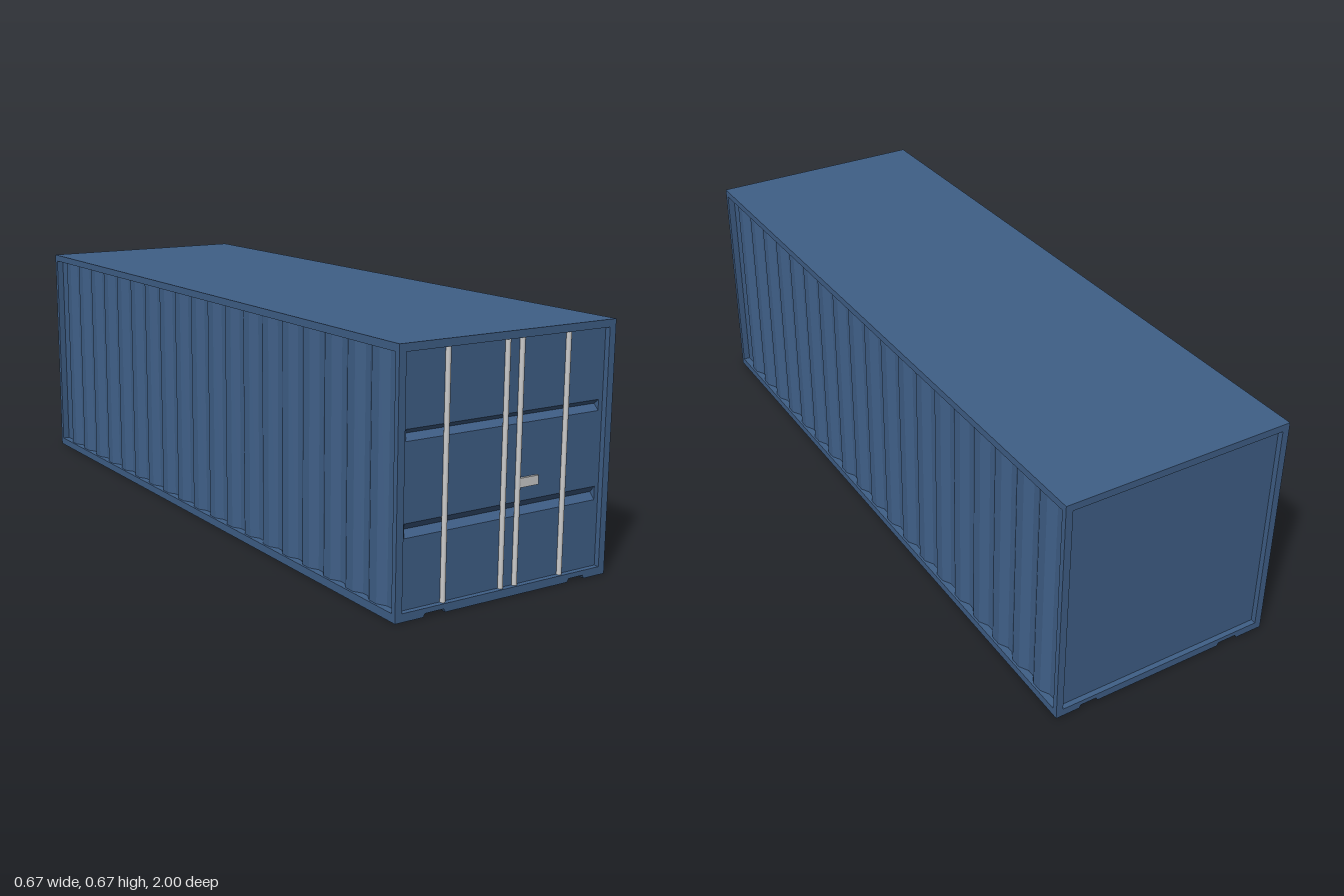
import * as THREE from 'three';

const W = 0.333, H = 0.668, L = 1;       // half width, height, half length
const LOW = 0.022, HIGH = 0.648;         // opening between the rails
const POST = 0.02, SIDE_POST = 0.015;    // post width on x and on z

const blue = new THREE.MeshStandardMaterial({ color: 0x3f5f87, flatShading: true });
const grey = new THREE.MeshStandardMaterial({ color: 0xcccccc });

function add(parent, name, geometry, material, x = 0, y = 0, z = 0) {
  const mesh = new THREE.Mesh(geometry, material);
  mesh.name = name;
  mesh.position.set(x, y, z);
  parent.add(mesh);
  return mesh;
}

function extrude(points, depth) {
  const shape = new THREE.Shape(points.map(([x, y]) => new THREE.Vector2(x, y)));
  return new THREE.ExtrudeGeometry(shape, { depth, bevelEnabled: false });
}

// Corrugated wall for the +x side, running along z
function sideWallGeometry() {
  const outer = 0.327, inner = 0.313, pitch = 0.1, end = L - SIDE_POST;
  const points = [[0.3, -end], [inner, -end]];
  for (let i = 0; i < 19; i++) {
    const z = -0.95 + i * pitch;
    points.push([inner, z + 0.01], [outer, z + 0.035], [outer, z + 0.065], [inner, z + 0.09]);
  }
  points.push([inner, end], [0.3, end]);
  const geometry = extrude(points, HIGH - LOW);
  geometry.rotateX(Math.PI / 2);         // shape y becomes z, depth runs down
  geometry.translate(0, HIGH, 0);
  return geometry;
}

// Door panel with two pressed V grooves, running along x
function doorGeometry() {
  const face = 0.985, deep = 0.97, back = 0.95;
  const points = [
    [back, LOW], [face, LOW],
    [face, 0.2], [deep, 0.218], [face, 0.236],
    [face, 0.434], [deep, 0.45], [face, 0.463],
    [face, HIGH], [back, HIGH],
  ];
  const width = 2 * (W - POST);
  const geometry = extrude(points, width);
  geometry.rotateY(-Math.PI / 2);        // shape x becomes z, depth runs to -x
  geometry.translate(width / 2, 0, 0);
  return geometry;
}

export function createModel() {
  const group = new THREE.Group();
  group.name = 'shippingContainer';

  // Base with two fork channels along its length
  const base = extrude([
    [-W, 0], [-0.25, 0], [-0.245, 0.009], [-0.188, 0.009], [-0.184, 0],
    [0.206, 0], [0.211, 0.009], [0.258, 0.009], [0.263, 0], [W, 0],
    [W, LOW], [-W, LOW],
  ], 2 * L);
  add(group, 'base', base, blue, 0, 0, -L);

  // Roof
  add(group, 'roof', new THREE.BoxGeometry(2 * W, H - HIGH, 2 * L), blue, 0, (H + HIGH) / 2, 0);

  // Corner posts
  const postGeometry = new THREE.BoxGeometry(POST, HIGH - LOW, SIDE_POST);
  for (const sx of [-1, 1]) {
    for (const sz of [-1, 1]) {
      add(group, 'cornerPost', postGeometry, blue,
        sx * (W - POST / 2), (HIGH + LOW) / 2, sz * (L - SIDE_POST / 2));
    }
  }

  // Corrugated side walls
  const wall = sideWallGeometry();
  add(group, 'leftWall', wall, blue);
  add(group, 'rightWall', wall, blue).rotation.y = Math.PI;

  // Recessed back wall and doors
  add(group, 'backWall', new THREE.BoxGeometry(2 * (W - POST), HIGH - LOW, 0.02), blue,
    0, (HIGH + LOW) / 2, -0.975);
  add(group, 'doors', doorGeometry(), blue);

  // Locking rods and handle
  const rod = new THREE.CylinderGeometry(0.0068, 0.0068, HIGH - LOW, 16);
  for (const x of [-0.184, -0.005, 0.04, 0.188]) {
    add(group, 'lockingRod', rod, grey, x, (HIGH + LOW) / 2, 0.988);
  }
  add(group, 'doorHandle', new THREE.BoxGeometry(0.059, 0.024, 0.007), grey, 0.073, 0.285, 0.99);

  return group;
}
